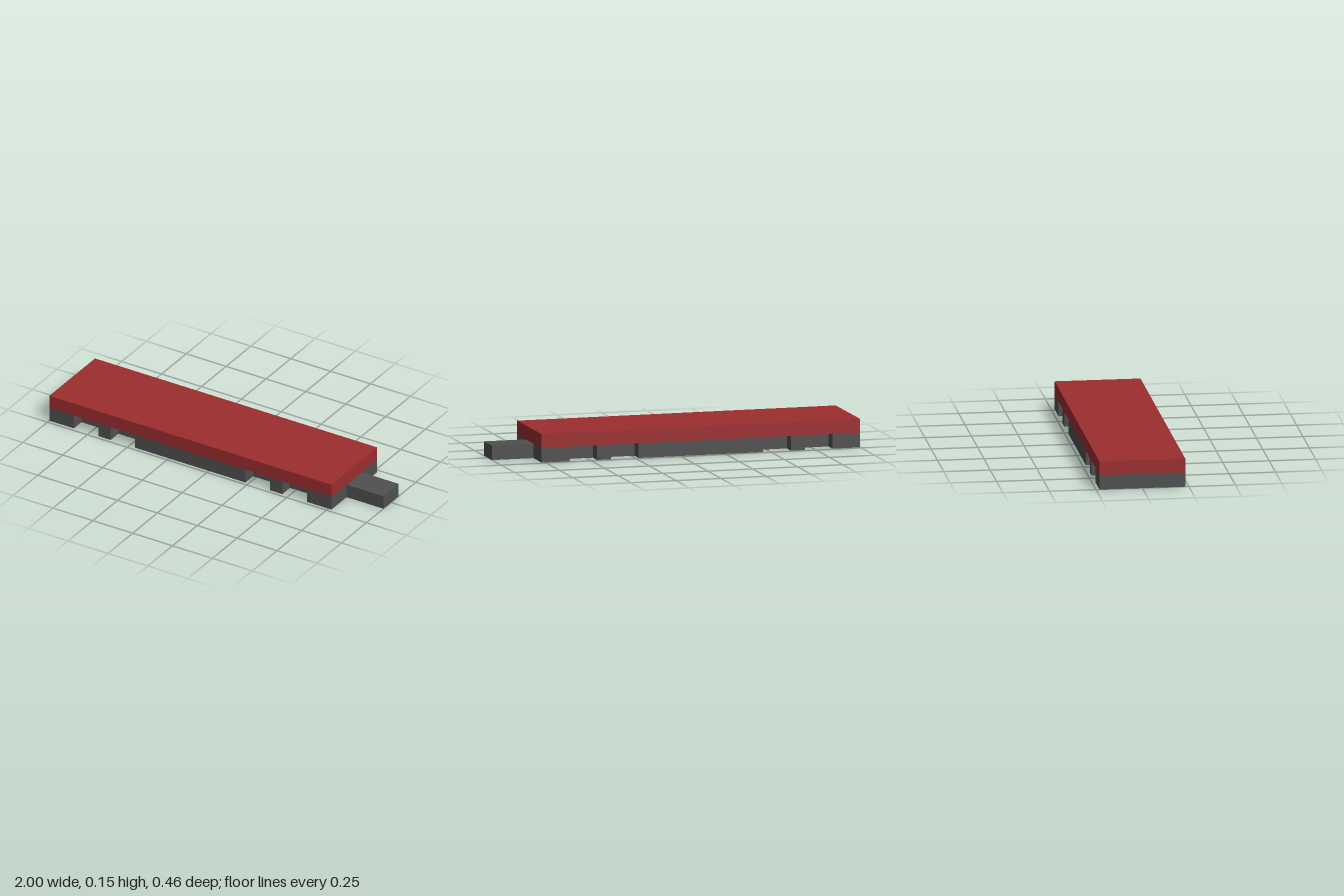
import * as THREE from 'three';

const U = 1 / 13; // grid module: the whole length is 26 modules

export function createModel() {
  const model = new THREE.Group();
  model.name = 'couplingPlate';
  const red = new THREE.MeshStandardMaterial({ color: 0x9c2d2f });
  red.name = 'dark red';
  const grey = new THREE.MeshStandardMaterial({ color: 0x505050 });
  grey.name = 'dark grey';

  const add = (name, geometry, material, x, y, z) => {
    const mesh = new THREE.Mesh(geometry, material);
    mesh.name = name;
    mesh.position.set(x, y, z);
    model.add(mesh);
  };

  const left = -13 * U, right = 10 * U, half = 3 * U;
  const baseHeight = 0.079, totalHeight = 2 * U;

  // Base: outline with four square-cut notches along each long side
  const notches = [-11, -8, 3, 6];
  const side = [[left, half]];
  for (const n of notches) {
    const a = n * U, b = (n + 2) * U;
    side.push([a, half], [a, half - U], [b, half - U], [b, half]);
  }
  side.push([right, half]);
  const mirrored = side.map(([x, z]) => [x, -z]);
  const outline = [...mirrored, ...side.reverse()].map(([x, z]) => new THREE.Vector2(x, z));
  const base = new THREE.ExtrudeGeometry(new THREE.Shape(outline), { depth: baseHeight, bevelEnabled: false });
  base.rotateX(-Math.PI / 2);
  add('notchedBase', base, grey, 0, 0, 0);

  // Top slab covering the base and its notches
  const slabHeight = totalHeight - baseHeight;
  add('topSlab', new THREE.BoxGeometry(right - left, slabHeight, 2 * half), red,
    (left + right) / 2, baseHeight + slabHeight / 2, 0);

  // Connector tongue at the left end
  add('connectorTongue', new THREE.BoxGeometry(3 * U, U, 2 * U), grey, 11.5 * U, U / 2, 0);

  return model;
}
